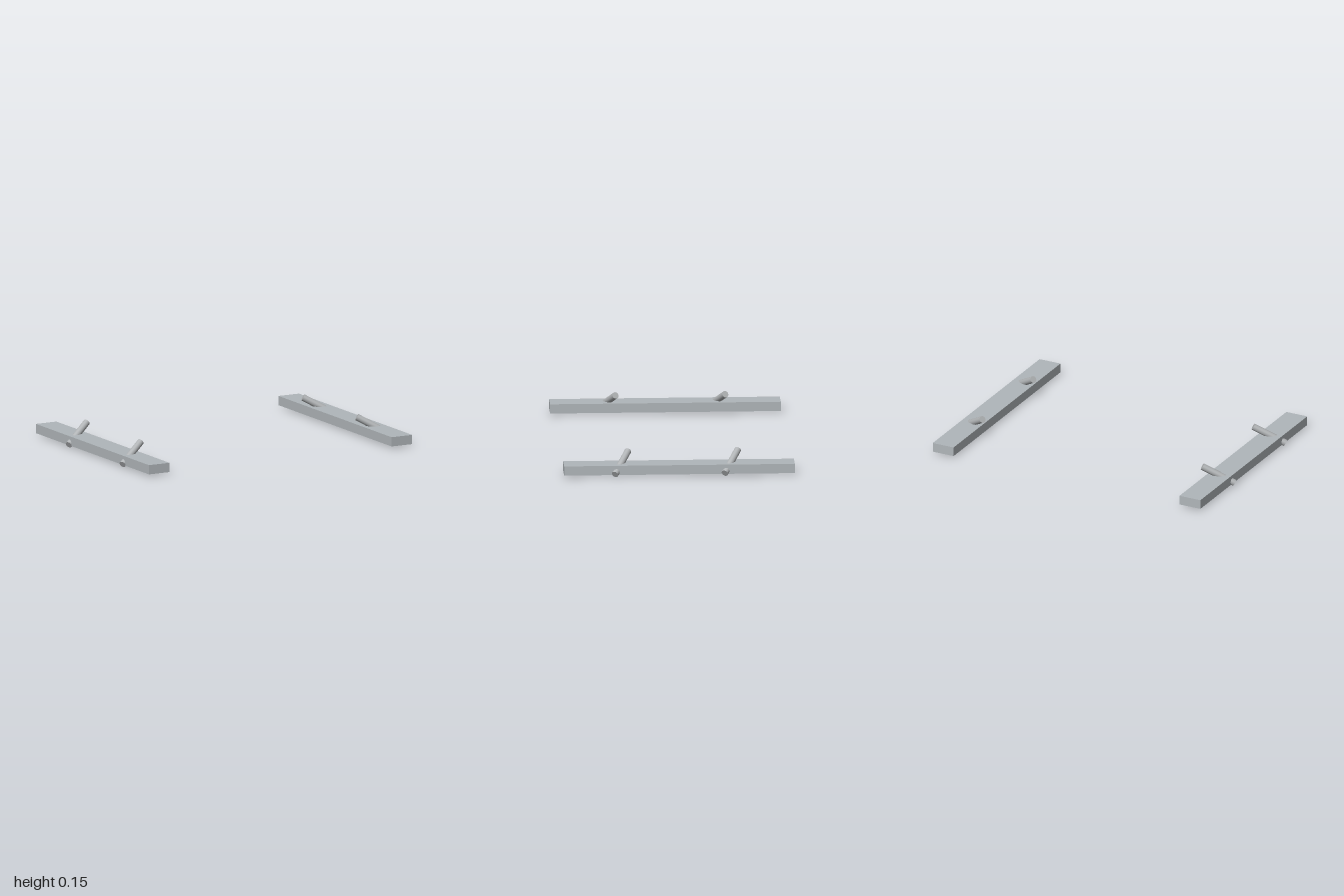
import * as THREE from 'three';

const slabGrey = new THREE.MeshStandardMaterial({ name: 'slabGrey', color: 0xb0b6ba });
const pegGrey = new THREE.MeshStandardMaterial({ name: 'pegGrey', color: 0xb0b3b5 });

// Cylinder running between two points
function rod(name, from, to, radius) {
  const dir = to.clone().sub(from);
  const mesh = new THREE.Mesh(new THREE.CylinderGeometry(radius, radius, dir.length(), 32), pegGrey);
  mesh.name = name;
  mesh.position.copy(from).add(to).multiplyScalar(0.5);
  mesh.quaternion.setFromUnitVectors(new THREE.Vector3(0, 1, 0), dir.normalize());
  return mesh;
}

export function createModel() {
  const model = new THREE.Group();
  model.name = 'railPair';

  for (const side of [1, -1]) {
    const rail = new THREE.Group();
    rail.name = side > 0 ? 'leftRail' : 'rightRail';

    // Long flat bar
    const bar = new THREE.Mesh(new THREE.BoxGeometry(0.152, 0.061, 1.492), slabGrey);
    bar.name = 'bar';
    bar.position.set(side * 0.899, 0.043, 0);
    rail.add(bar);

    // Slanted pegs piercing the bar, leaning inward and back
    for (const [name, z] of [['frontPeg', 0.418], ['backPeg', -0.292]]) {
      rail.add(rod(name,
        new THREE.Vector3(side * 0.986, 0.0193, z),
        new THREE.Vector3(side * 0.801, 0.1327, z - 0.093), 0.022));
    }
    model.add(rail);
  }
  return model;
}
